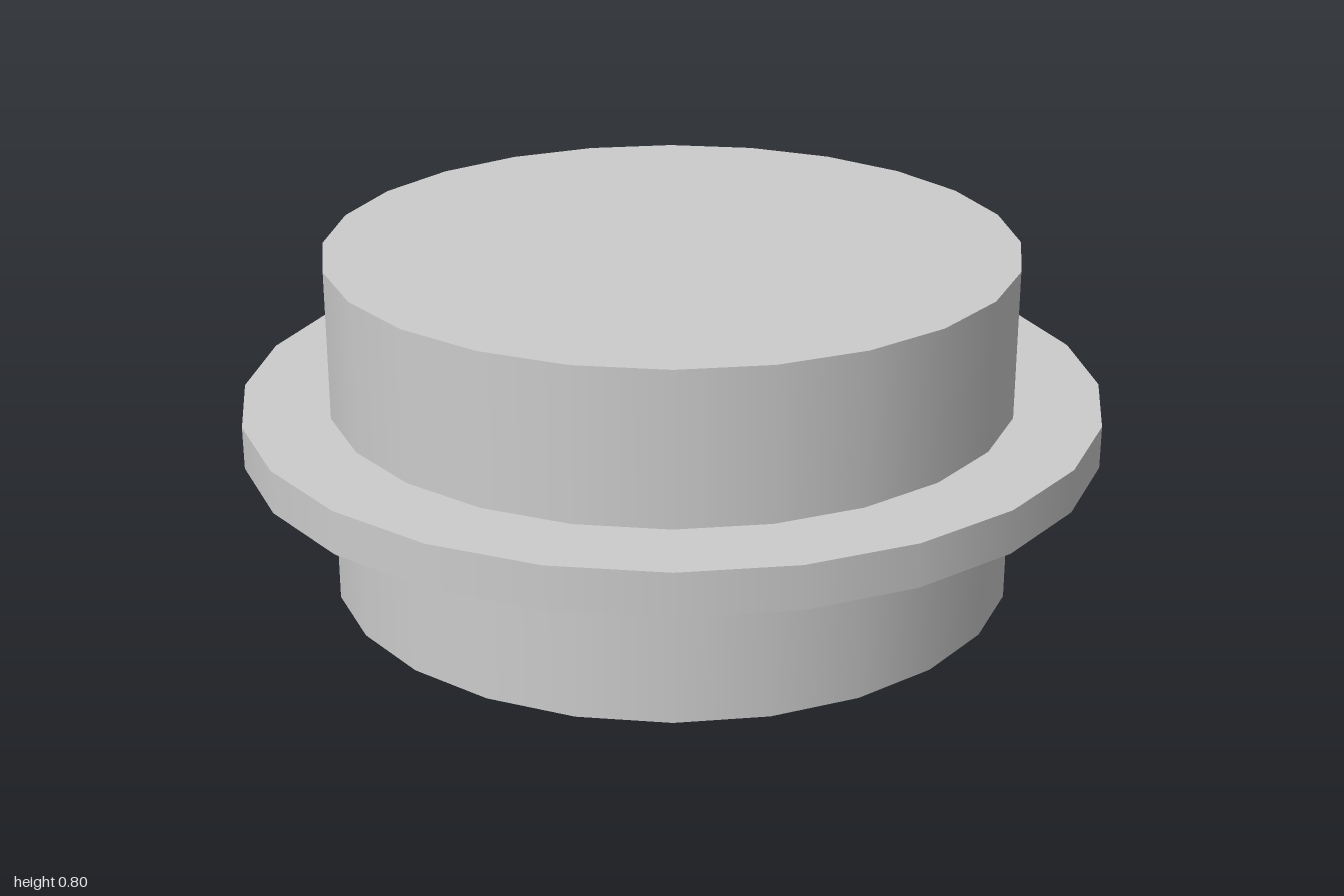
import * as THREE from 'three';

const SIDES = 24;

export function createModel() {
  const group = new THREE.Group();
  const material = new THREE.MeshStandardMaterial({ color: 0xcccccc });

  // Upright disc centred at mid-height
  const addDisc = (name, radius, height) => {
    const mesh = new THREE.Mesh(new THREE.CylinderGeometry(radius, radius, height, SIDES), material);
    mesh.name = name;
    mesh.position.y = 0.4;
    group.add(mesh);
  };

  addDisc('body', 0.8, 0.8);
  addDisc('flange', 1, 0.1); // thin ring around the middle

  return group;
}
